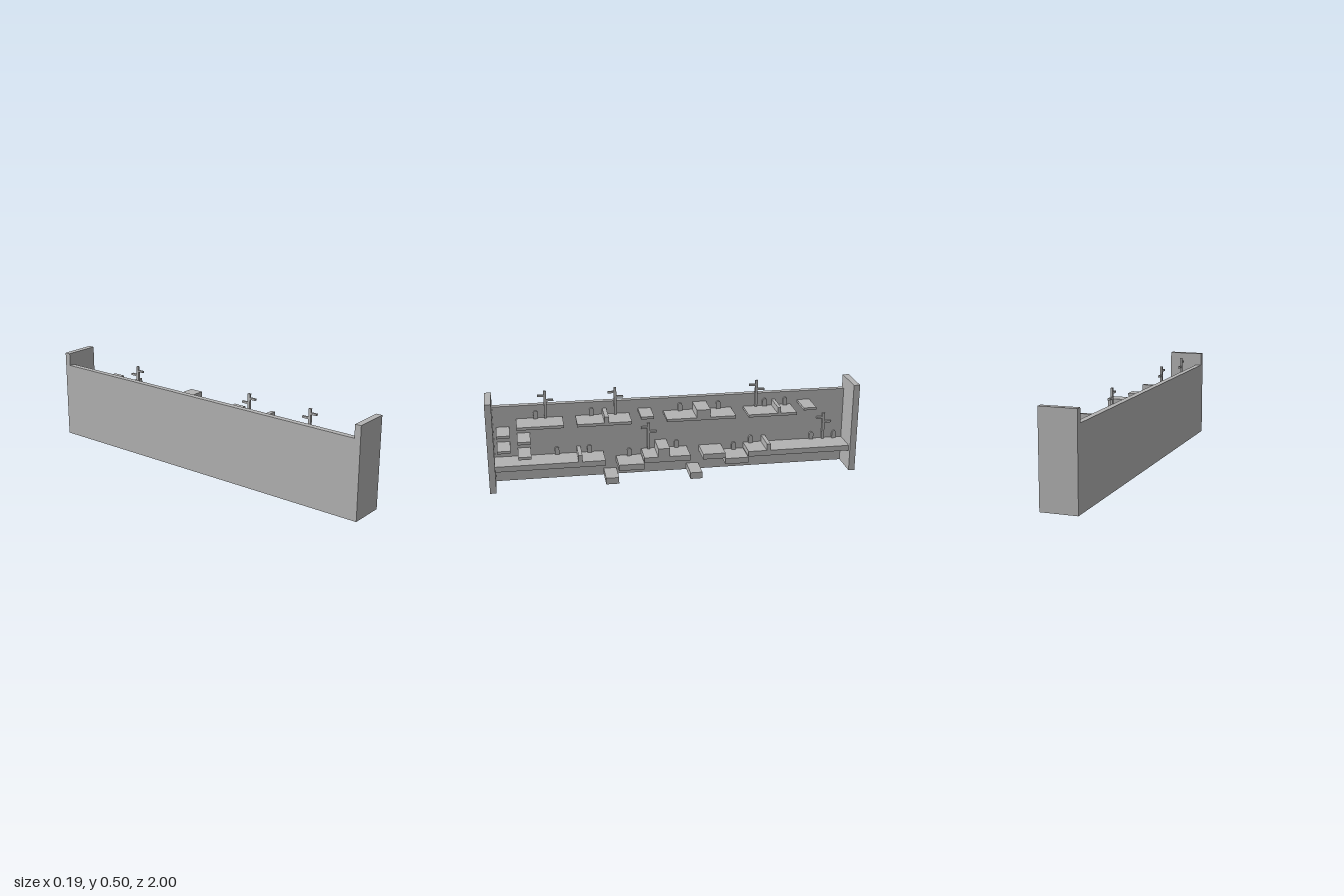
import * as THREE from 'three';

export function createModel() {
  const model = new THREE.Group();
  model.name = 'platformWall';
  const stone = new THREE.MeshStandardMaterial({ color: 0xb3b3b3 });
  stone.name = 'greyStone';

  // Box given by its limits on each axis
  const box = (name, x0, x1, y0, y1, z0, z1, parent = model) => {
    const mesh = new THREE.Mesh(new THREE.BoxGeometry(x1 - x0, y1 - y0, Math.abs(z1 - z0)), stone);
    mesh.position.set((x0 + x1) / 2, (y0 + y1) / 2, (z0 + z1) / 2);
    mesh.name = name;
    parent.add(mesh);
  };

  // Back wall and the two end walls
  const BACK = -0.098, INNER = -0.066, FRONT = 0.074;
  box('backWall', BACK, INNER, 0, 0.426, -0.966, 0.966);
  for (const s of [-1, 1]) box('endWall', BACK, 0.097, 0, 0.497, s * 0.966, s);

  // Shelves and blocks spanning the full depth: [z from, z to, bottom, top]
  const LOW = 0.14, SUNK = 0.107, HIGH = 0.353;
  const spans = {
    lowerPlatform: [
      [0.966, 0.383, 0.11, LOW], [0.313, 0.174, 0.074, SUNK], [0.174, -0.078, 0.11, LOW],
      [-0.147, -0.271, 0.11, LOW], [-0.271, -0.399, 0.074, SUNK], [-0.399, -0.966, 0.11, LOW],
    ],
    upperPlatform: [
      [0.843, 0.597, 0.338, HIGH], [0.528, 0.238, 0.338, HIGH],
      [0.051, -0.324, 0.338, HIGH], [-0.394, -0.661, 0.338, HIGH],
    ],
    smallLedge: [
      [0.19, 0.12, 0.361, 0.375], [-0.699, -0.769, 0.361, 0.375],
      [0.951, 0.881, 0.297, 0.311], [0.843, 0.774, 0.256, 0.271],
      [0.951, 0.881, 0.212, 0.226], [0.843, 0.774, 0.171, 0.186],
    ],
    groundBlock: [[0.383, 0.313, 0, 0.036], [-0.078, -0.144, 0, 0.036]],
    raisedBlock: [[0.099, 0.035, LOW, 0.187], [-0.11, -0.185, HIGH, 0.396]],
    ridge: [
      [0.527, 0.506, LOW, 0.177], [-0.501, -0.522, LOW, 0.177],
      [0.383, 0.361, HIGH, 0.386], [-0.554, -0.572, HIGH, 0.386],
    ],
  };
  for (const [name, list] of Object.entries(spans)) {
    for (const [z0, z1, y0, y1] of list) box(name, INNER, FRONT, y0, y1, z0, z1);
  }

  // Arched stones: [z, base height]
  const r = 0.012, height = 0.043, depth = 0.012;
  const arch = new THREE.Shape();
  arch.moveTo(-r, 0);
  arch.lineTo(r, 0);
  arch.lineTo(r, height - r);
  arch.absarc(0, height - r, r, 0, Math.PI, false);
  const archGeometry = new THREE.ExtrudeGeometry(arch, { depth, bevelEnabled: false, curveSegments: 6 });
  archGeometry.rotateY(Math.PI / 2);
  const stones = [
    [0.739, HIGH], [0.442, HIGH], [-0.04, HIGH], [-0.252, HIGH], [-0.512, HIGH], [-0.627, HIGH],
    [0.634, LOW], [0.458, LOW], [0.241, SUNK], [-0.021, LOW], [-0.343, SUNK],
    [-0.439, LOW], [-0.787, LOW], [-0.919, LOW],
  ];
  for (const [z, y] of stones) {
    const mesh = new THREE.Mesh(archGeometry, stone);
    mesh.position.set(-0.062, y, z);
    mesh.name = 'archedStone';
    model.add(mesh);
  }

  // Bare posts with two staggered arms: [z, base height]
  const posts = [[0.686, HIGH], [0.313, HIGH], [-0.463, HIGH], [0.134, LOW], [-0.854, LOW]];
  for (const [z, y] of posts) {
    const post = new THREE.Group();
    post.name = 'branchedPost';
    post.position.set(0, y, z);
    box('trunk', -0.062, -0.05, 0, 0.151, -0.007, 0.007, post);
    box('upperArm', -0.062, -0.05, 0.121, 0.131, 0.007, 0.04, post);
    box('lowerArm', -0.062, -0.05, 0.095, 0.105, -0.044, -0.007, post);
    model.add(post);
  }
  return model;
}
